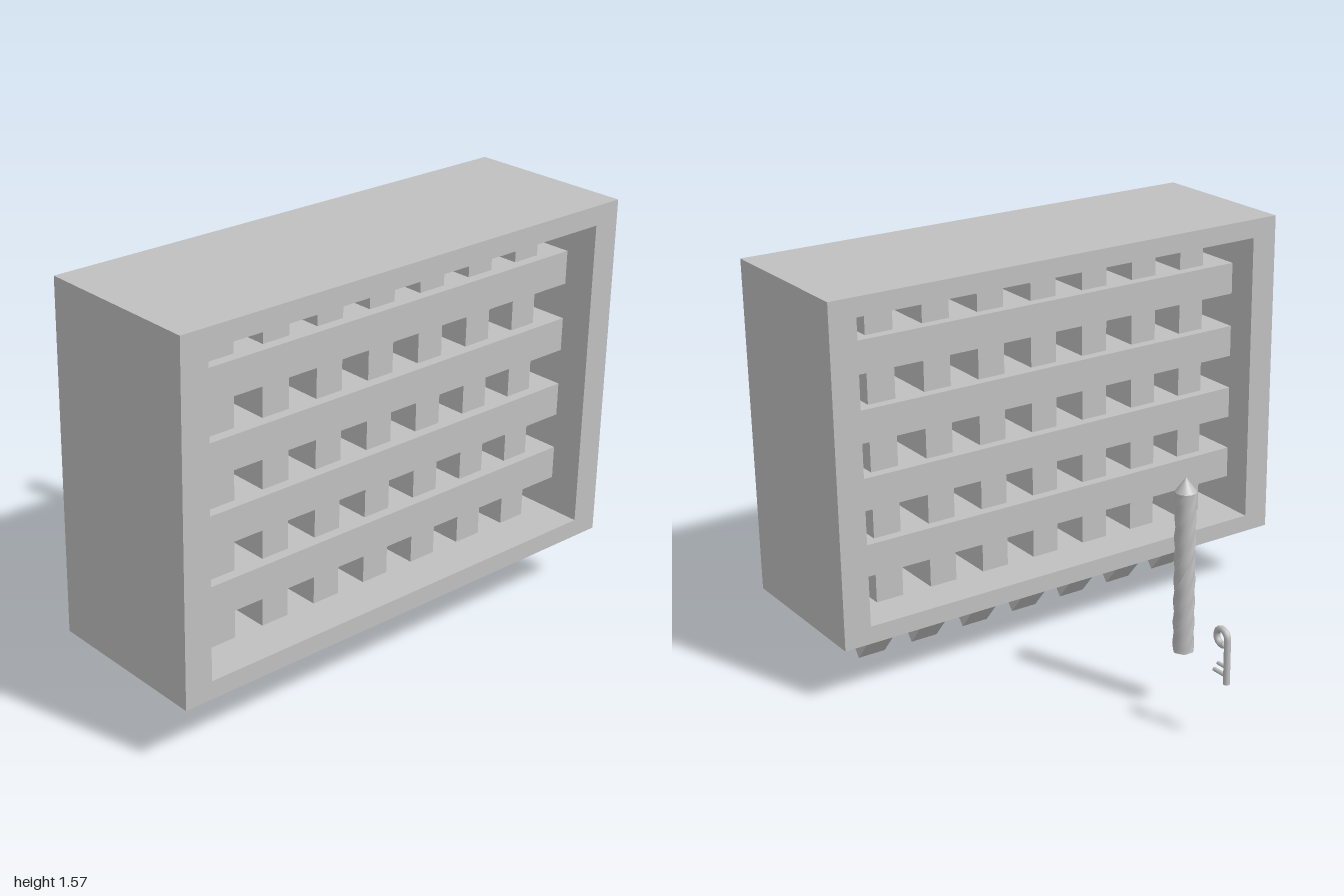
import * as THREE from 'three';

const steel = new THREE.MeshStandardMaterial({ color: 0xc0c0c0 });
steel.name = 'plain grey';
const facetedSpan = 0.63; // fluted length of the twisted rod

function add(parent, name, geometry, x = 0, y = 0, z = 0) {
  const mesh = new THREE.Mesh(geometry, steel);
  mesh.name = name;
  mesh.position.set(x, y, z);
  parent.add(mesh);
  return mesh;
}

function polygon(points) {
  return points.map(([x, y]) => new THREE.Vector2(x, y));
}

// Deep rectangular frame, open along x
function frameGeometry() {
  const shape = new THREE.Shape(polygon([[-1, 0.235], [1, 0.235], [1, 1.57], [-1, 1.57]]));
  shape.holes.push(new THREE.Path(polygon([[-0.89, 0.305], [-0.89, 1.495], [0.89, 1.495], [0.89, 0.305]])));
  const g = new THREE.ExtrudeGeometry(shape, { depth: 0.665, bevelEnabled: false });
  return g.translate(0, 0, -0.3325).rotateY(Math.PI / 2);
}

// Upright bar with a wedge-shaped foot
function spikeGeometry() {
  const shape = new THREE.Shape(polygon([[0, 0], [0.166, 0.2], [0.166, 1.5], [-0.166, 1.5], [-0.166, 0.2]]));
  return new THREE.ExtrudeGeometry(shape, { depth: 0.115, bevelEnabled: false }).translate(0, 0, -0.0575);
}

// Twisted, shallowly fluted rod
function twistedRodGeometry() {
  const g = new THREE.CylinderGeometry(0.04, 0.04, facetedSpan, 24, 40);
  const p = g.attributes.position;
  for (let i = 0; i < p.count; i++) {
    const x = p.getX(i), y = p.getY(i), z = p.getZ(i);
    const r = Math.hypot(x, z);
    if (r < 0.001) continue;
    const a = Math.atan2(x, z);
    const flute = r * (0.94 + 0.06 * Math.cos(6 * a));
    const twist = a + (y / facetedSpan + 0.5) * Math.PI * 2.5;
    p.setXYZ(i, flute * Math.sin(twist), y, flute * Math.cos(twist));
  }
  g.computeVertexNormals();
  return g;
}

// Looped clip with two short prongs
function makeClip() {
  const clip = new THREE.Group();
  clip.name = 'loopedClip';
  const path = new THREE.CurvePath();
  const v = (x, y) => new THREE.Vector3(x, y, 0);
  path.add(new THREE.LineCurve3(v(-0.83, 0.235), v(-0.83, 0.409)));
  const arc = [];
  for (let i = 0; i <= 20; i++) {
    const a = Math.PI - (i / 20) * Math.PI * 1.6;
    arc.push(v(-0.8 + 0.03 * Math.cos(a), 0.409 + 0.03 * Math.sin(a)));
  }
  path.add(new THREE.CatmullRomCurve3(arc));
  add(clip, 'clipWire', new THREE.TubeGeometry(path, 90, 0.0125, 12));
  // Wire ends
  const tip = arc[arc.length - 1];
  add(clip, 'clipEnd', new THREE.SphereGeometry(0.0125, 12, 8), tip.x, tip.y, 0);
  add(clip, 'clipFoot', new THREE.CircleGeometry(0.0125, 12).rotateX(Math.PI / 2), -0.83, 0.235, 0);
  for (const [y, end, r] of [[0.299, -0.78, 0.007], [0.266, -0.76, 0.008]]) {
    const length = end + 0.83;
    add(clip, 'clipProng', new THREE.CylinderGeometry(r, r, length, 10).rotateZ(Math.PI / 2), -0.83 + length / 2, y, 0);
  }
  clip.position.z = -0.021;
  return clip;
}

export function createModel() {
  const model = new THREE.Group();
  model.name = 'gateSet';

  const gate = new THREE.Group();
  gate.name = 'gate';
  gate.position.x = 0.507;
  add(gate, 'frame', frameGeometry());
  const spike = spikeGeometry();
  for (let i = -3; i <= 3; i++) add(gate, 'uprightBar', spike, 0, 0, i * 0.2375);
  // Cross bars, slightly deeper than the uprights
  const bar = new THREE.BoxGeometry(0.412, 0.128, 1.782);
  for (let i = 0; i < 4; i++) add(gate, 'crossBar', bar, 0, 0.505 + i * 0.265, 0);
  model.add(gate);

  const rod = new THREE.Group();
  rod.name = 'twistedRod';
  rod.position.set(-0.533, 0.235, 0.015);
  add(rod, 'rodShaft', twistedRodGeometry(), 0, facetedSpan / 2, 0);
  add(rod, 'rodPoint', new THREE.ConeGeometry(0.04, 0.055, 24), 0, facetedSpan + 0.0275, 0);
  model.add(rod);

  model.add(makeClip());
  return model;
}
